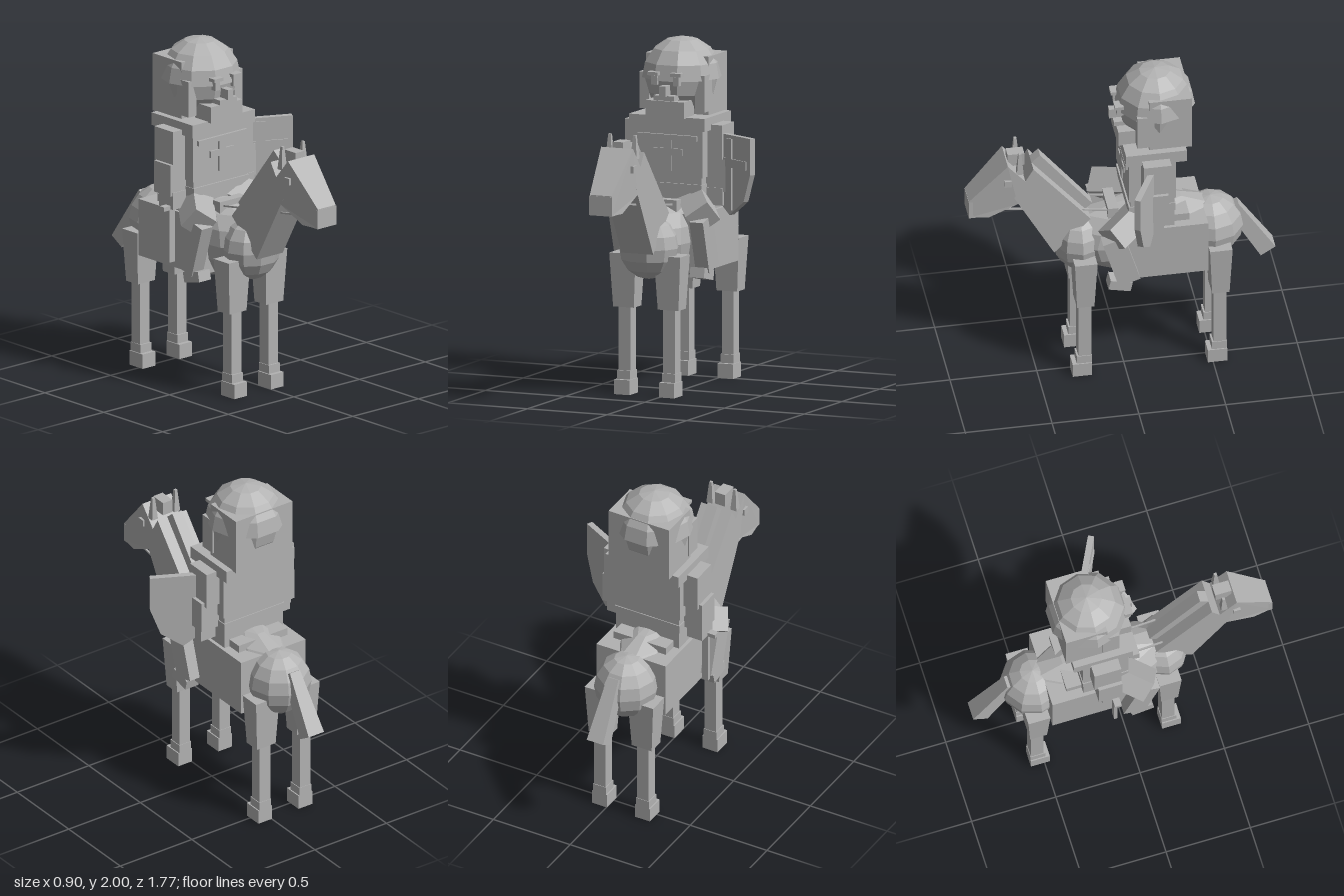
import * as THREE from 'three';

const stone = new THREE.MeshStandardMaterial({ color: 0xb2b2b2, flatShading: true });
stone.name = 'stone grey';

export function createModel() {
  const root = new THREE.Group();
  root.name = 'mountedKnight';
  const body = new THREE.Group(); // centre line of horse and rider
  body.name = 'horseAndRider';
  body.position.x = -0.095;
  root.add(body);

  const add = (name, geo, parent = body) => {
    const m = new THREE.Mesh(geo, stone);
    m.name = name;
    parent.add(m);
    return m;
  };
  // box from its extents on each axis
  const box = (name, x0, x1, y0, y1, z0, z1, parent) => {
    const m = add(name, new THREE.BoxGeometry(x1 - x0, y1 - y0, z1 - z0), parent);
    m.position.set((x0 + x1) / 2, (y0 + y1) / 2, (z0 + z1) / 2);
    return m;
  };
  // box whose sections at the top and bottom differ
  const taper = (w0, d0, w1, d1, h) => {
    const g = new THREE.BoxGeometry(1, h, 1), p = g.attributes.position;
    for (let i = 0; i < p.count; i++) {
      const top = p.getY(i) > 0;
      p.setX(i, p.getX(i) * (top ? w1 : w0));
      p.setZ(i, p.getZ(i) * (top ? d1 : d0));
    }
    g.computeVertexNormals();
    return g;
  };
  // tapered box running from point a (bottom) to point b (top)
  const beam = (name, a, b, w0, d0, w1 = w0, d1 = d0) => {
    const A = new THREE.Vector3(...a), B = new THREE.Vector3(...b);
    const m = add(name, taper(w0, d0, w1, d1, A.distanceTo(B)));
    m.position.copy(A).lerp(B, 0.5);
    m.quaternion.setFromUnitVectors(new THREE.Vector3(0, 1, 0), B.sub(A).normalize());
    return m;
  };
  const ball = (name, x, y, z, rx, ry, rz, ws = 10, hs = 8) => {
    const m = add(name, new THREE.SphereGeometry(1, ws, hs));
    m.position.set(x, y, z);
    m.scale.set(rx, ry, rz);
    return m;
  };
  // flat plate cut from a side profile of [z, y] points, width in x
  const profile = (pts, width) => {
    const s = new THREE.Shape(pts.map(([z, y]) => new THREE.Vector2(-z, y)));
    const g = new THREE.ExtrudeGeometry(s, { depth: width, bevelEnabled: false });
    g.translate(0, 0, -width / 2);
    g.rotateY(Math.PI / 2);
    return g;
  };

  // horse body
  ball('chest', 0, 0.85, 0.245, 0.178, 0.185, 0.155);
  ball('belly', 0, 0.86, -0.15, 0.2, 0.24, 0.53);
  ball('rump', 0, 0.855, -0.515, 0.187, 0.195, 0.19);

  // legs
  for (const s of [-1, 1]) {
    for (const [name, z] of [['front', 0.237], ['hind', -0.541]]) {
      const x = s * 0.14;
      beam(name + 'UpperLeg', [x, 0.5, z], [x, 0.81, z], 0.13, 0.1, 0.165, 0.13);
      box(name + 'LowerLeg', x - 0.037, x + 0.037, 0.08, 0.52, z - 0.037, z + 0.037);
      box(name + 'Fetlock', x - 0.041, x + 0.041, 0.08, 0.135, z - 0.04, z + 0.047);
      box(name + 'Hoof', x - 0.048, x + 0.048, 0, 0.085, z - 0.04, z + 0.072);
    }
  }

  // neck, mane and head
  add('horseNeck', profile([[0.63, 1.25], [0.4, 0.832], [0.19, 1.045], [0.52, 1.44]], 0.2));
  add('mane', profile([[0.52, 1.44], [0.47, 1.484], [0.17, 1.105], [0.22, 1.06]], 0.066));
  const head = profile([[0.667, 1.478], [0.885, 1.235], [0.885, 1.12], [0.774, 1.12],
    [0.61, 1.205], [0.515, 1.3]], 0.2);
  const hp = head.attributes.position;
  for (let i = 0; i < hp.count; i++) {
    hp.setX(i, hp.getX(i) * Math.min(1, 1 - (hp.getZ(i) - 0.667) * 1.47));
  }
  head.computeVertexNormals();
  add('horseHead', head);
  box('muzzle', -0.071, 0.071, 1.118, 1.23, 0.79, 0.887);
  box('forelock', -0.033, 0.033, 1.43, 1.51, 0.56, 0.657);
  for (const s of [-1, 1]) {
    beam('horseEar', [s * 0.078, 1.41, 0.595], [s * 0.078, 1.545, 0.595], 0.04, 0.04, 0.016, 0.016);
    box('horseEye', s * 0.1 - 0.012, s * 0.1 + 0.012, 1.34, 1.38, 0.646, 0.688);
    beam('rein', [s * 0.07, 1.165, 0.71], [s * 0.07, 1.07, 0.06], 0.01, 0.01);
  }
  beam('tail', [0, 0.645, -0.84], [0, 0.965, -0.64], 0.107, 0.1, 0.07, 0.08);

  // saddle and blanket
  box('saddleBlanket', -0.225, 0.225, 0.685, 1.02, -0.465, 0.06);
  box('cantle', -0.17, 0.17, 1.0, 1.065, -0.365, -0.26);
  box('pommel', -0.1, 0.1, 1.0, 1.1, 0.03, 0.09);

  // rider's torso
  box('tunic', -0.205, 0.205, 1.0, 1.24, -0.275, -0.02);
  box('chestArmour', -0.215, 0.215, 1.22, 1.5, -0.28, -0.01);
  box('chestBand', -0.185, 0.185, 1.43, 1.46, -0.1, 0.005);
  box('emblemUpright', -0.025, 0.025, 1.25, 1.43, -0.02, 0.0);
  box('emblemBar', -0.09, 0.09, 1.34, 1.38, -0.02, 0.0);
  box('belt', -0.21, 0.21, 1.13, 1.18, -0.28, -0.01);
  box('collar', -0.237, 0.237, 1.49, 1.565, -0.34, 0.01);
  box('throatGuard', -0.12, 0.12, 1.56, 1.655, -0.1, 0.035);

  // rider's legs and arms
  for (const s of [-1, 1]) {
    beam('thigh', [s * 0.27, 1.01, 0.1], [s * 0.12, 1.09, -0.1], 0.15, 0.14);
    beam('shin', [s * 0.25, 0.71, 0.0], [s * 0.252, 1.01, 0.09], 0.085, 0.13);
    const foot = box('foot', s * 0.24 - 0.045, s * 0.24 + 0.045, 0.655, 0.715, -0.015, 0.115);
    foot.rotation.x = -0.22;
    box('shoulder', s * 0.25 - 0.055, s * 0.25 + 0.055, 1.3, 1.52, -0.24, -0.08);
    box('forearm', s * 0.265 - 0.06, s * 0.265 + 0.06, 1.14, 1.325, -0.22, -0.08);
    box('hand', s * 0.26 - 0.05, s * 0.26 + 0.05, 1.06, 1.16, -0.195, -0.075);
  }

  // sword hanging from the right hand
  box('swordGuard', -0.36, -0.23, 1.055, 1.08, -0.135, -0.095);
  box('swordBlade', -0.31, -0.27, 0.74, 1.06, -0.125, -0.105);

  // shield on the left arm, turned with its inner edge back
  const shield = new THREE.Group();
  shield.name = 'shield';
  shield.position.set(0.275, 0, -0.105);
  shield.rotation.y = -0.47;
  root.add(shield);
  const outline = new THREE.Shape([[-0.19, 1.47], [-0.19, 1.26], [-0.13, 1.1], [0, 1.01],
    [0.13, 1.1], [0.19, 1.26], [0.19, 1.47]].map(([x, y]) => new THREE.Vector2(x, y)));
  add('shieldPlate', new THREE.ExtrudeGeometry(outline, { depth: 0.035, bevelEnabled: false }), shield);
  box('shieldUpright', -0.027, 0.027, 1.04, 1.45, 0.03, 0.043, shield);
  box('shieldBar', -0.16, 0.16, 1.285, 1.335, 0.03, 0.043, shield);

  // rider's head, hood and hair
  ball('riderHead', 0, 1.765, -0.19, 0.215, 0.215, 0.215);
  box('hood', -0.197, 0.197, 1.56, 1.9, -0.375, -0.13);
  const hair = add('hairCap', new THREE.SphereGeometry(0.232, 10, 4, 0, Math.PI * 2, 0, Math.PI / 2));
  hair.position.set(0, 1.768, -0.195);
  hair.material.side = THREE.DoubleSide;
  for (const s of [-1, 1]) {
    box('cheekGuard', s * 0.175 - 0.03, s * 0.175 + 0.03, 1.59, 1.8, -0.16, -0.06);
    box('riderEye', s * 0.068 - 0.018, s * 0.068 + 0.018, 1.745, 1.797, 0.0, 0.035);
    box('brow', s * 0.072 - 0.033, s * 0.072 + 0.033, 1.8, 1.82, 0.0, 0.05);
  }
  box('nose', -0.02, 0.02, 1.685, 1.745, -0.02, 0.07);
  box('moustache', -0.065, 0.065, 1.66, 1.688, -0.04, 0.05);

  return root;
}
